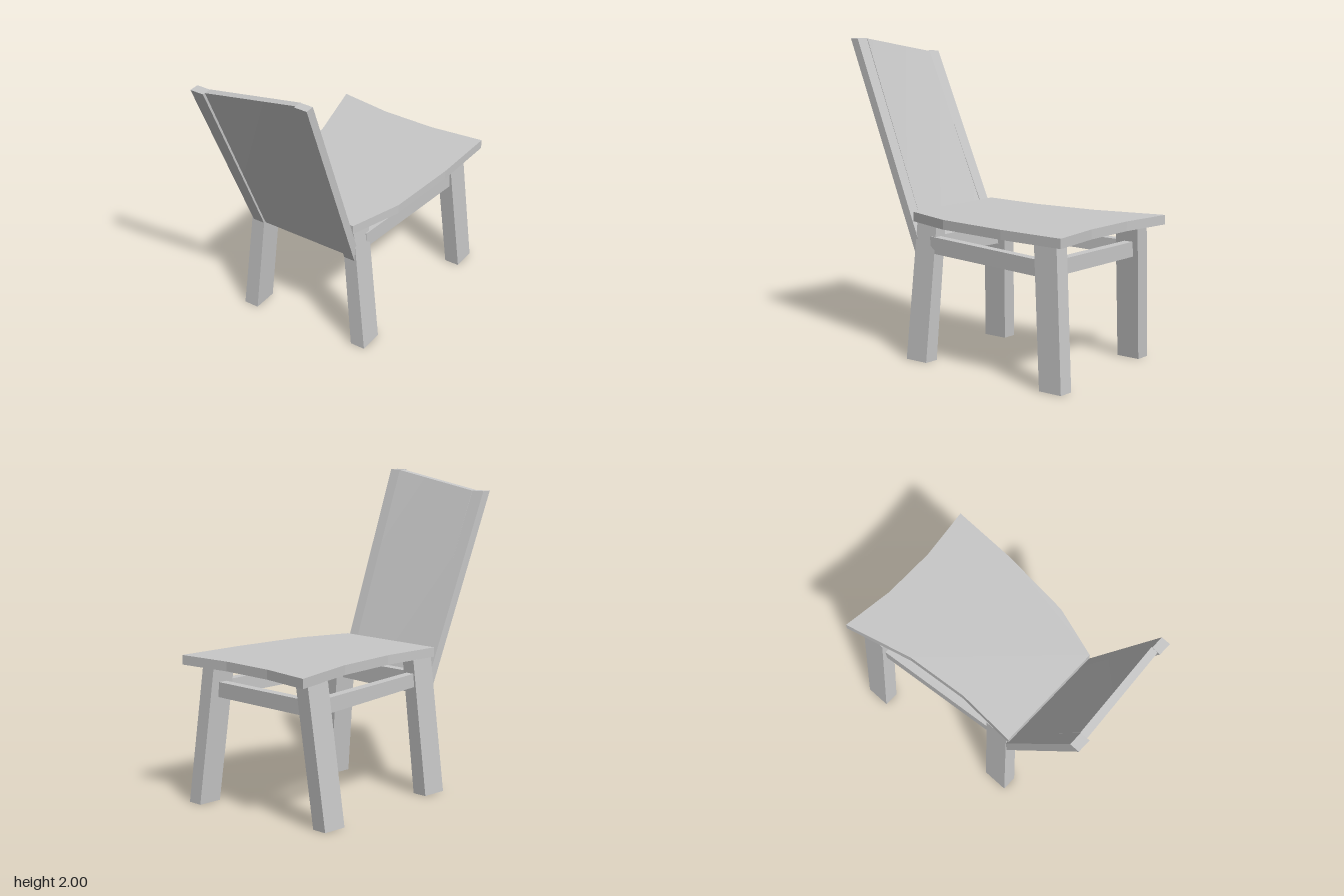
import * as THREE from 'three';

const wood = new THREE.MeshStandardMaterial({ color: 0xc8c8c8 });
wood.name = 'pale grey';

// Four corners of a level rectangle
const rect = (x0, x1, y, z0, z1) => [[x0, y, z0], [x1, y, z0], [x1, y, z1], [x0, y, z1]];

// Six-sided block between a bottom quad and a top quad (corners ordered as in rect)
function block(name, bottom, top) {
  const geometry = new THREE.BoxGeometry(1, 1, 1);
  const p = geometry.attributes.position;
  for (let i = 0; i < p.count; i++) {
    const right = p.getX(i) > 0, near = p.getZ(i) > 0;
    const corner = near ? (right ? 2 : 3) : (right ? 1 : 0);
    p.setXYZ(i, ...(p.getY(i) > 0 ? top : bottom)[corner]);
  }
  geometry.computeVertexNormals();
  const mesh = new THREE.Mesh(geometry, wood);
  mesh.name = name;
  return mesh;
}

// Rail along z: [x0, x1, y0, y1, z] at each end
function sideRail(name, a, b) {
  const level = (k) => [[a[0], a[k], a[4]], [a[1], a[k], a[4]], [b[1], b[k], b[4]], [b[0], b[k], b[4]]];
  return block(name, level(2), level(3));
}

export function createModel() {
  const chair = new THREE.Group();
  chair.name = 'chair';

  // Seat: flat board with curved-in sides
  const outline = [
    [-0.52, -0.91], [-0.17, -0.865], [0.19, -0.865], [0.55, -0.91], [0.54, -0.46],
    [0.495, 0.03], [0.385, 0.375], [-0.38, 0.375], [-0.36, -0.03], [-0.4, -0.45],
  ];
  const shape = new THREE.Shape(outline.map(([x, z]) => new THREE.Vector2(x, -z)));
  const seatGeometry = new THREE.ExtrudeGeometry(shape, { depth: 0.06, bevelEnabled: false });
  seatGeometry.rotateX(-Math.PI / 2).translate(0, 0.87, 0);
  const seat = new THREE.Mesh(seatGeometry, wood);
  seat.name = 'seat';
  chair.add(seat);

  // Splayed legs: foot rectangle, then top rectangle
  const legs = [
    ['rightBackrestLeg', [-0.445, -0.345, 0, 0.23, 0.4], [-0.375, -0.285, 0.87, 0.185, 0.35]],
    ['leftBackrestLeg', [0.37, 0.47, 0, 0.2, 0.365], [0.29, 0.375, 0.87, 0.19, 0.35]],
    ['rightSeatLeg', [-0.555, -0.455, 0, -0.77, -0.61], [-0.46, -0.36, 0.87, -0.815, -0.65]],
    ['leftSeatLeg', [0.42, 0.52, 0, -0.895, -0.735], [0.365, 0.465, 0.87, -0.815, -0.65]],
  ];
  for (const [name, foot, top] of legs) chair.add(block(name, rect(...foot), rect(...top)));

  // Rails between the legs
  chair.add(
    sideRail('rightRail', [-0.45, -0.39, 0.67, 0.765, -0.67], [-0.37, -0.31, 0.7, 0.785, 0.23]),
    sideRail('leftRail', [0.4, 0.46, 0.665, 0.765, -0.67], [0.33, 0.39, 0.685, 0.79, 0.23]),
    block('seatLegRail', rect(-0.42, 0.42, 0.67, -0.77, -0.71), rect(-0.41, 0.41, 0.765, -0.77, -0.71)),
    block('backrestLegRail',
      [[-0.32, 0.645, 0.25], [0.33, 0.66, 0.25], [0.33, 0.675, 0.31], [-0.32, 0.675, 0.31]],
      rect(-0.31, 0.32, 0.78, 0.25, 0.31)),
  );

  // Leaning backrest: two posts and the panel between them
  chair.add(
    block('rightPost', rect(-0.38, -0.3, 0.66, 0.29, 0.355), rect(-0.38, -0.29, 1.89, 0.84, 0.905)),
    block('leftPost', rect(0.31, 0.385, 0.655, 0.295, 0.355), rect(0.325, 0.41, 2, 0.82, 0.88)),
    block('backPanel', rect(-0.3, 0.312, 0.67, 0.3, 0.345),
      [[-0.29, 1.89, 0.837], [0.327, 1.998, 0.815], [0.327, 1.998, 0.862], [-0.29, 1.89, 0.887]]),
  );
  return chair;
}
